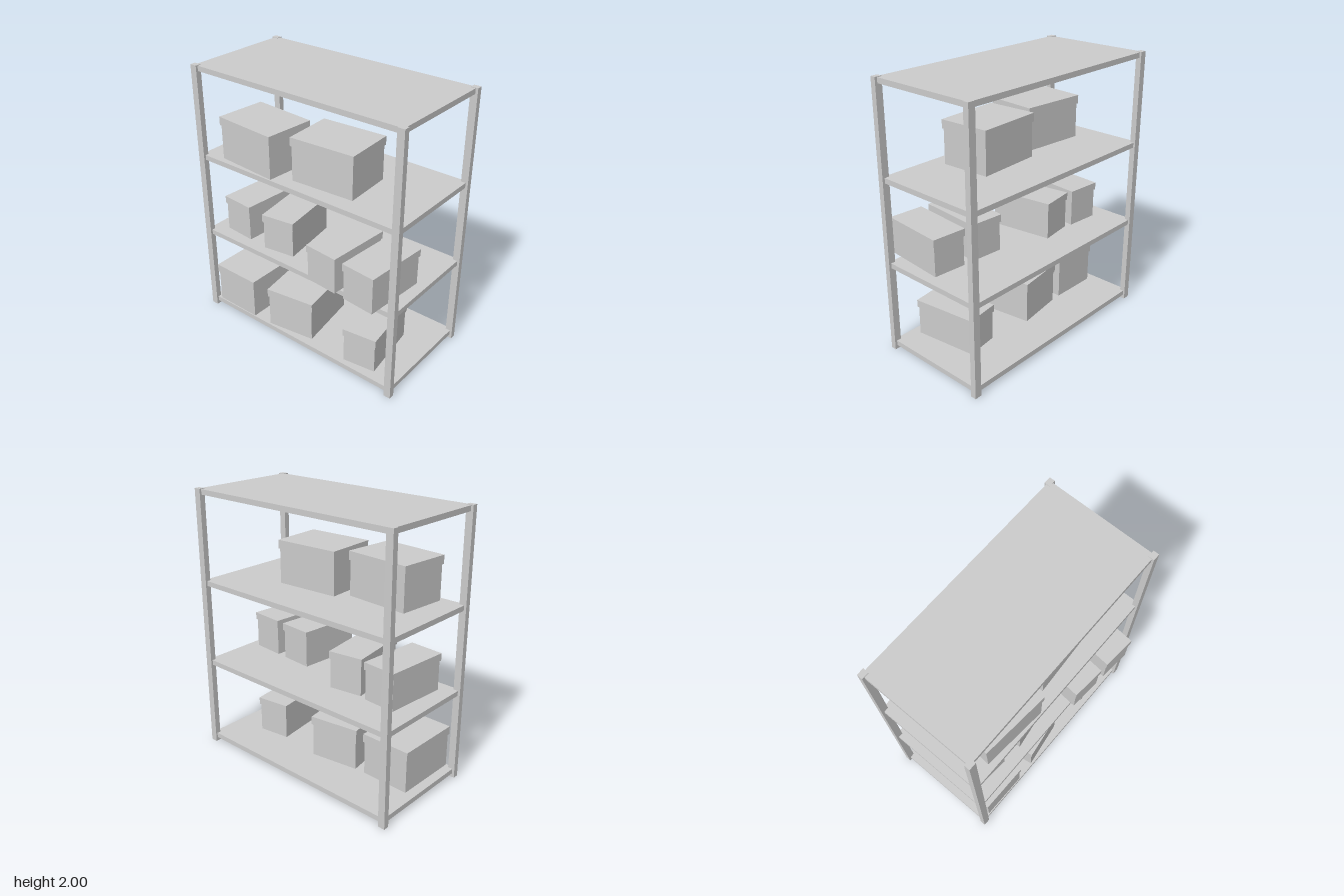
import * as THREE from 'three';

const material = new THREE.MeshStandardMaterial({ color: 0xcccccc, flatShading: true });

// Box given by its size, its centre in x and z, and the height of its underside
function block(name, [w, h, d], x, y, z) {
  const mesh = new THREE.Mesh(new THREE.BoxGeometry(w, h, d), material);
  mesh.name = name;
  mesh.position.set(x, y + h / 2, z);
  return mesh;
}

// Storage box: body with a slightly wider lid
function storageBox([w, h, d], lidHeight) {
  const group = new THREE.Group();
  group.name = 'storageBox';
  const inset = 0.008;
  group.add(block('boxBody', [w - 2 * inset, h - 0.01, d - 2 * inset], 0, 0, 0));
  group.add(block('boxLid', [w, lidHeight, d], 0, h - lidHeight, 0));
  return group;
}

export function createModel() {
  const model = new THREE.Group();
  model.name = 'shelvingUnit';

  // Corner posts
  for (const x of [-0.845, 0.845]) {
    for (const z of [-0.45, 0.367]) {
      model.add(block('post', [0.053, 2, 0.042], x, 0, z));
    }
  }

  // Shelves
  const shelfThickness = 0.038;
  const shelfTops = [0.067, 0.698, 1.328, 1.996];
  for (const top of shelfTops) {
    model.add(block('shelf', [1.708, shelfThickness, 0.829], 0, top - shelfThickness, -0.0425));
  }

  // Boxes: size, shelf index, x, z, turn about y
  const large = { size: [0.387, 0.319, 0.503], lid: 0.063 };
  const largeSideways = { size: [0.503, 0.319, 0.387], lid: 0.063 };
  const small = { size: [0.263, 0.277, 0.488], lid: 0.055 };
  const placements = [
    [large, 0, -0.598, 0.121, -0.01],
    [large, 0, -0.112, 0.09, 0.145],
    [small, 0, 0.518, 0.081, 0.132],
    [small, 1, -0.598, 0.043, -0.075],
    [small, 1, -0.248, 0.05, 0.143],
    [small, 1, 0.309, 0.181, -0.08],
    [small, 1, 0.635, 0.206, -0.08],
    [largeSideways, 2, -0.422, 0.158, -0.08],
    [largeSideways, 2, 0.16, 0.075, 0.06],
  ];
  for (const [kind, shelf, x, z, turn] of placements) {
    const box = storageBox(kind.size, kind.lid);
    box.position.set(x, shelfTops[shelf], z);
    box.rotation.y = turn;
    model.add(box);
  }

  return model;
}
